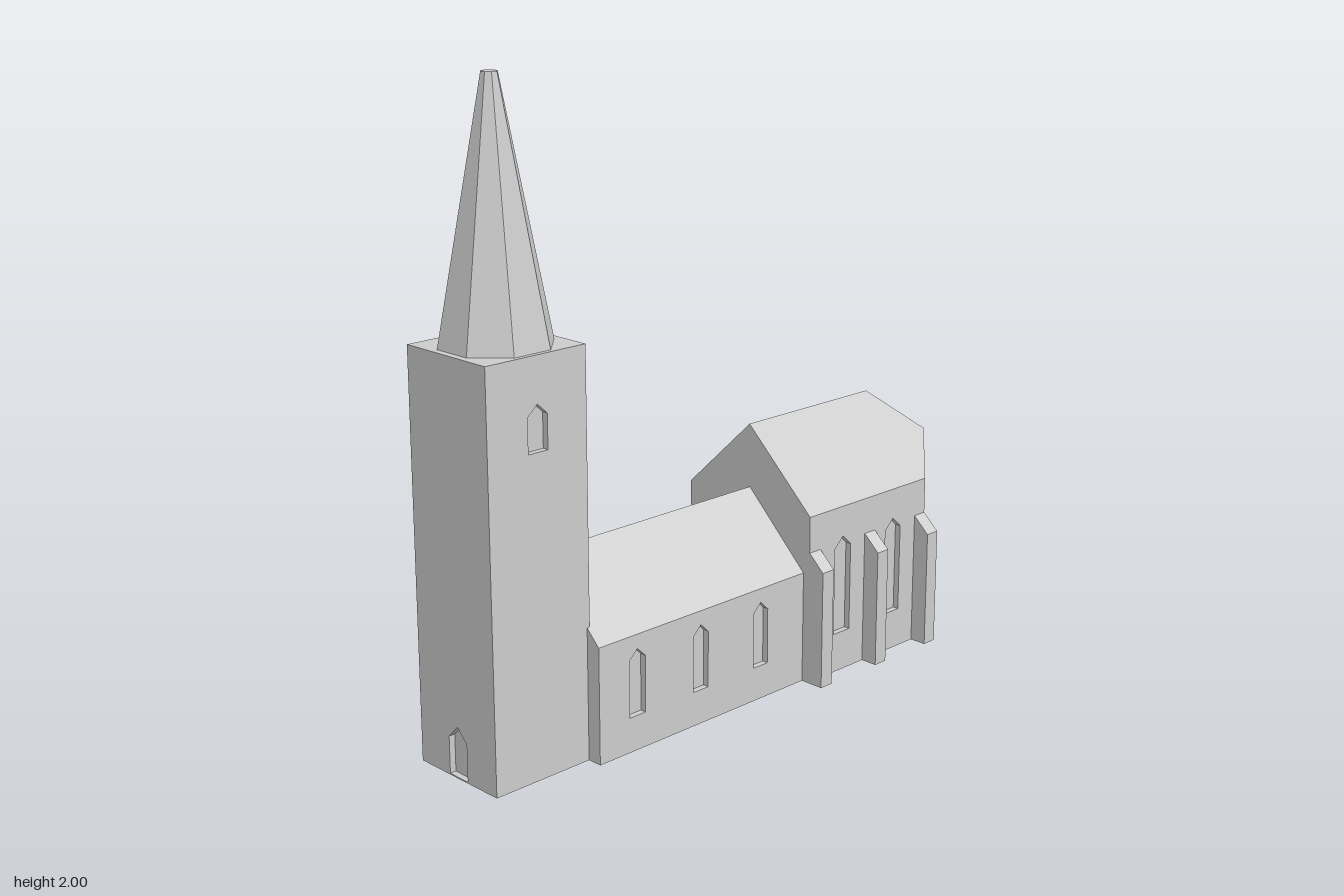
import * as THREE from 'three';
import { ConvexGeometry } from 'three/addons/geometries/ConvexGeometry.js';

const D = 0.02; // depth of window recesses

export function createModel() {
  const church = new THREE.Group();
  church.name = 'church';
  const stone = new THREE.MeshStandardMaterial({ color: 0xcccccc, flatShading: true });
  stone.name = 'pale stone';

  const add = (parent, name, geometry, x = 0, y = 0, z = 0) => {
    const mesh = new THREE.Mesh(geometry, stone);
    mesh.name = name;
    mesh.position.set(x, y, z);
    parent.add(mesh);
    return mesh;
  };
  const group = (name, x = 0, z = 0) => {
    const g = new THREE.Group();
    g.name = name;
    g.position.set(x, 0, z);
    church.add(g);
    return g;
  };
  // Box given by its limits
  const block = (parent, name, x0, x1, y0, y1, z0, z1) =>
    add(parent, name, new THREE.BoxGeometry(x1 - x0, y1 - y0, z1 - z0),
      (x0 + x1) / 2, (y0 + y1) / 2, (z0 + z1) / 2);

  // Thin wall pierced by pointed openings { x, w, y0, y1, y2 }
  const piercedWall = (x0, x1, h, openings) => {
    const shape = new THREE.Shape([[x0, 0], [x1, 0], [x1, h], [x0, h]].map(p => new THREE.Vector2(...p)));
    for (const { x, w, y0, y1, y2 } of openings) {
      const pts = [[x - w / 2, y0], [x - w / 2, y1], [x, y2], [x + w / 2, y1], [x + w / 2, y0]];
      shape.holes.push(new THREE.Path(pts.map(p => new THREE.Vector2(...p))));
    }
    return new THREE.ExtrudeGeometry(shape, { depth: D, bevelEnabled: false });
  };

  // Gabled hall: solid core, two pierced side walls and a ridge roof along x
  const hall = (g, x0, x1, half, eave, ridge, openings) => {
    block(g, 'core', x0, x1, 0, eave, -half + D, half - D);
    add(g, 'frontWall', piercedWall(x0, x1, eave, openings), 0, 0, half - D);
    add(g, 'backWall', piercedWall(x0, x1, eave, openings), 0, 0, -half);
    const gable = new THREE.Shape([[-half, eave], [half, eave], [0, ridge]].map(p => new THREE.Vector2(...p)));
    const roof = new THREE.ExtrudeGeometry(gable, { depth: x1 - x0, bevelEnabled: false });
    add(g, 'roof', roof.rotateY(Math.PI / 2), x0);
  };

  // Tower with belfry windows front and back, and a west door
  const tower = group('tower', -0.8025, 0.02);
  const tx = 0.1775, tz = 0.17, th = 1.25;
  block(tower, 'core', -tx + D, tx, 0, th, -tz + D, tz - D);
  const belfry = [{ x: 0, w: 0.07, y0: 0.975, y1: 1.08, y2: 1.112 }];
  add(tower, 'frontWall', piercedWall(-tx, tx, th, belfry), 0, 0, tz - D);
  add(tower, 'backWall', piercedWall(-tx, tx, th, belfry), 0, 0, -tz);
  const door = [{ x: 0, w: 0.08, y0: 0.004, y1: 0.12, y2: 0.16 }];
  add(tower, 'westWall', piercedWall(-tz + D, tz - D, th, door).rotateY(-Math.PI / 2), -tx + D);

  // Eight-sided spire with a blunt tip
  const spire = new THREE.CylinderGeometry(0.024, 0.168, 0.75, 8).rotateY(Math.PI / 8);
  add(tower, 'spire', spire, 0, th + 0.375, 0);

  // Low nave
  const nave = group('nave', 0, 0.003);
  hall(nave, -0.635, 0.23, 0.236, 0.365, 0.595,
    [-0.485, -0.225, 0.035].map(x => ({ x, w: 0.062, y0: 0.11, y1: 0.29, y2: 0.32 })));

  // Taller choir
  const choir = group('choir');
  hall(choir, 0.228, 0.79, 0.264, 0.555, 0.803,
    [0.385, 0.63].map(x => ({ x, w: 0.074, y0: 0.13, y1: 0.42, y2: 0.455 })));

  // Three-sided apse with hipped roof
  const points = [new THREE.Vector3(0.79, 0.803, 0)];
  for (const s of [-1, 1]) {
    for (const [x, y, z] of [[0.79, 0, 0.264], [0.79, 0.555, 0.264], [0.975, 0, 0.098],
      [0.975, 0.63, 0.098], [0.929, 0.6725, 0.139]]) points.push(new THREE.Vector3(x, y, s * z));
  }
  add(choir, 'apse', new ConvexGeometry(points));

  // Buttresses with sloping tops
  const profile = new THREE.Shape([[0.25, 0], [0.321, 0], [0.321, 0.385], [0.264, 0.437], [0.25, 0.437]]
    .map(p => new THREE.Vector2(...p)));
  for (const x of [0.228, 0.49, 0.74]) {
    for (const side of [1, -1]) {
      const g = new THREE.ExtrudeGeometry(profile, { depth: 0.05, bevelEnabled: false });
      g.rotateY(-side * Math.PI / 2);
      add(choir, 'buttress', g, side > 0 ? x + 0.05 : x, 0, 0);
    }
  }
  return church;
}
